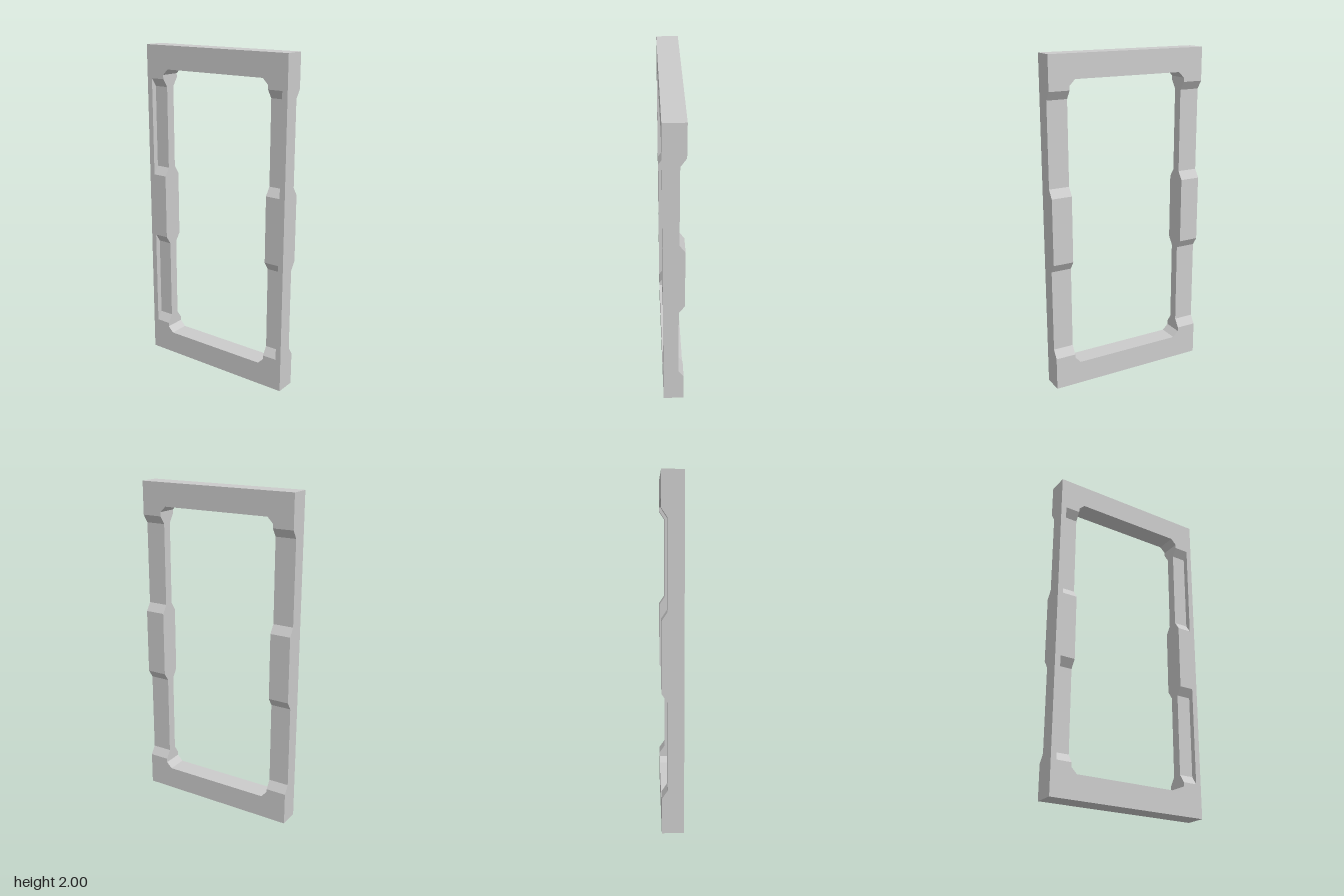
import * as THREE from 'three';

const X = 0.0625;        // half thickness of the frame
const XN = 0.029;        // half thickness inside the notches
const Z_OUT = 0.5, Z_IN = 0.375, Z_RIM = 0.466;
const Y_END = 0.2;       // where end pieces meet the posts

const material = new THREE.MeshStandardMaterial({ color: 0xcccccc, flatShading: true });

// U-shaped end piece with chamfered inner corners
function endGeometry() {
  const c = 0.035, y = 0.14;
  const shape = new THREE.Shape([
    [-Z_OUT, 0], [Z_OUT, 0], [Z_OUT, Y_END], [Z_IN, Y_END], [Z_IN, y + c], [Z_IN - c, y],
    [-Z_IN + c, y], [-Z_IN, y + c], [-Z_IN, Y_END], [-Z_OUT, Y_END],
  ].map(([a, b]) => new THREE.Vector2(a, b)));
  const geo = new THREE.ExtrudeGeometry(shape, { depth: 2 * X, bevelEnabled: false });
  return geo.rotateY(Math.PI / 2).translate(-X, 0, 0);
}

// Post lofted through its levels: notched across the +x face, and on the
// -x face pocketed only up to a thin outer rim
function postGeometry() {
  const levels = [[0.2, X], [0.25, XN], [0.75, XN], [0.8, X], [1.2, X], [1.25, XN], [1.75, XN], [1.8, X]];
  const section = ([y, x]) => [
    [x, y, Z_IN], [x, y, Z_OUT], [-X, y, Z_OUT], [-X, y, Z_RIM], [-x, y, Z_RIM], [-x, y, Z_IN],
  ];
  const pos = [];
  for (let i = 0; i < levels.length - 1; i++) {
    const lo = section(levels[i]), hi = section(levels[i + 1]);
    for (let k = 0; k < 6; k++) {
      const n = (k + 1) % 6;
      pos.push(...lo[k], ...hi[k], ...hi[n], ...lo[k], ...hi[n], ...lo[n]);
    }
  }
  const geo = new THREE.BufferGeometry();
  geo.setAttribute('position', new THREE.Float32BufferAttribute(pos, 3));
  geo.computeVertexNormals();
  return geo;
}

export function createModel() {
  const group = new THREE.Group();
  group.name = 'notchedFrame';

  // Each part and its half-turn copy about the frame's middle
  const addPair = (geo, name, turnedName) => {
    const part = new THREE.Mesh(geo, material);
    part.name = name;
    const turned = new THREE.Mesh(geo, material);
    turned.name = turnedName;
    turned.rotation.x = Math.PI;
    turned.position.y = 2;
    group.add(part, turned);
  };

  addPair(endGeometry(), 'bottomRail', 'topRail');
  addPair(postGeometry(), 'frontPost', 'backPost');
  return group;
}
